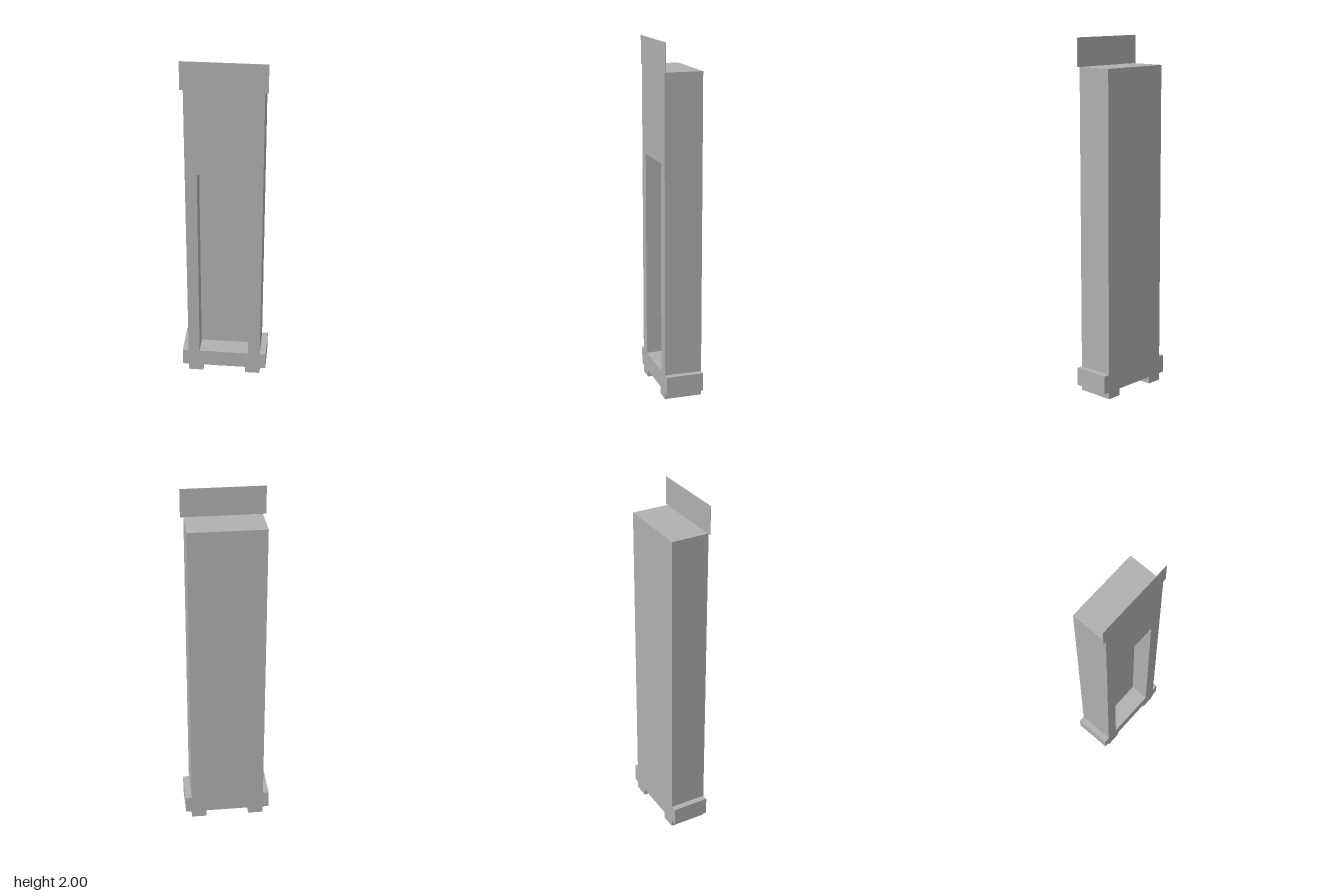
import * as THREE from 'three';

const HALF_DEPTH = 0.107;
const RECESS_FLOOR = -0.003;

// Column silhouette with wider base block and two feet
function columnOutline() {
  const half = [[0.126, 0.04], [0.126, 0], [0.213, 0], [0.213, 0.04], [0.248, 0.04],
    [0.248, 0.143], [0.213, 0.143], [0.213, 1.842]];
  const mirrored = half.map(([x, y]) => [-x, y]).reverse();
  return new THREE.Shape([...half, ...mirrored].map(([x, y]) => new THREE.Vector2(x, y)));
}

// Rectangular opening for the front recess
function recessOpening() {
  const x0 = -0.147, x1 = 0.143, y0 = 0.143, y1 = 1.345;
  return new THREE.Path([[x0, y0], [x0, y1], [x1, y1], [x1, y0]].map(([x, y]) => new THREE.Vector2(x, y)));
}

export function createModel() {
  const model = new THREE.Group();
  model.name = 'column';
  const grey = new THREE.MeshStandardMaterial({ color: 0xb0b0b0 });
  grey.name = 'grey';

  const addSlab = (name, shape, z0, z1) => {
    const geometry = new THREE.ExtrudeGeometry(shape, { depth: z1 - z0, bevelEnabled: false });
    const mesh = new THREE.Mesh(geometry, grey);
    mesh.name = name;
    mesh.position.z = z0;
    model.add(mesh);
  };

  // Solid rear half, whose face forms the recess floor
  addSlab('rearBody', columnOutline(), -HALF_DEPTH, RECESS_FLOOR);

  // Front half, pierced by the tall recess
  const frontShape = columnOutline();
  frontShape.holes.push(recessOpening());
  addSlab('frontBody', frontShape, RECESS_FLOOR, HALF_DEPTH);

  // Thin sign plate standing flush with the front face
  const plate = new THREE.Mesh(new THREE.BoxGeometry(0.462, 0.158, 0.003), grey);
  plate.name = 'topPlate';
  plate.position.set(0, 1.921, HALF_DEPTH - 0.0015);
  model.add(plate);

  return model;
}
